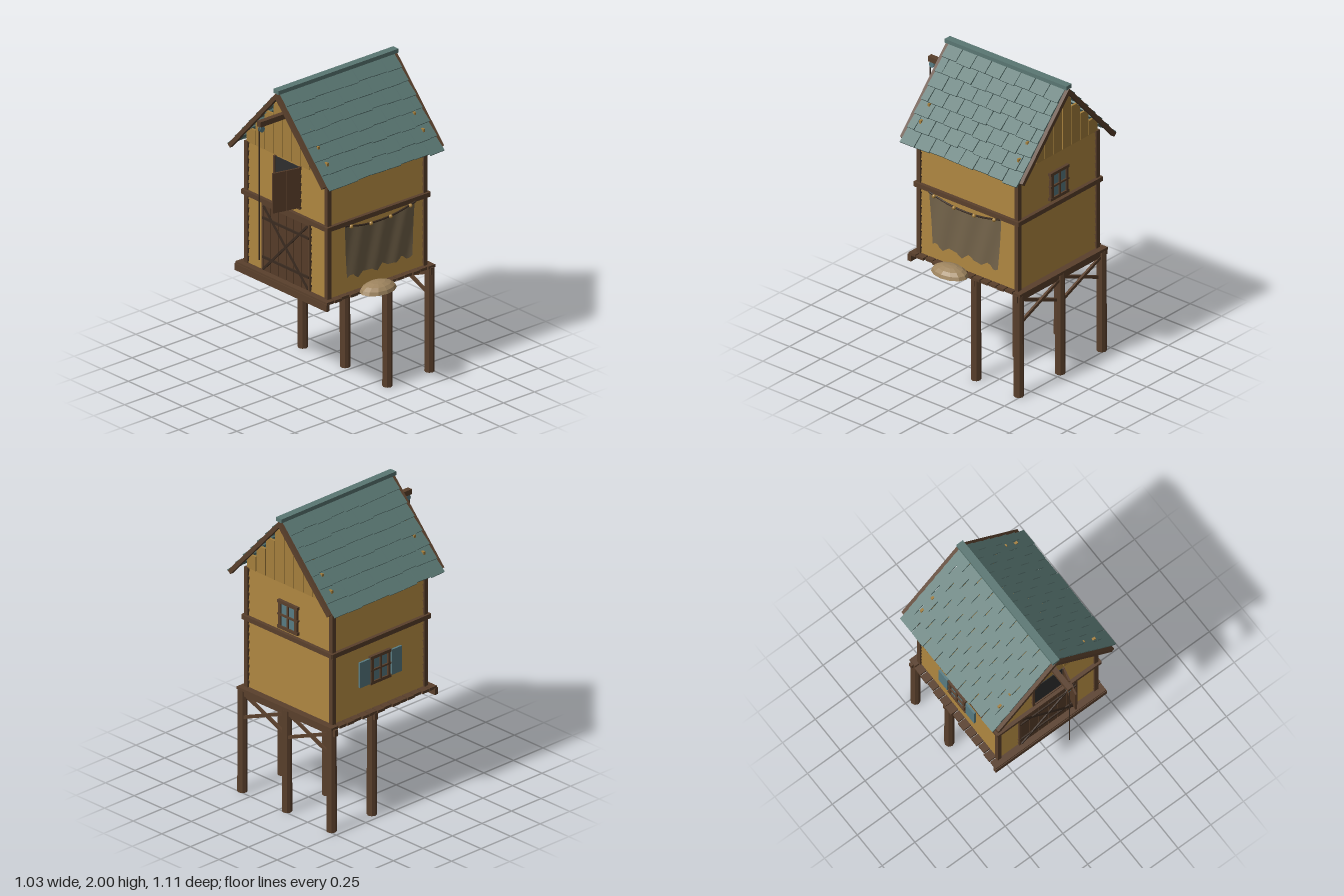
import * as THREE from 'three';

const mat = (name, color, side = THREE.FrontSide) => {
  const m = new THREE.MeshStandardMaterial({ color, side });
  m.name = name;
  return m;
};
const M = {
  wood: mat('brown timber', 0x5a402c),
  door: mat('door planks', 0x553b28),
  wall: mat('ochre boards', 0xa57f3c),
  roof: mat('slate shingles', 0x5a7773),
  dark: mat('dark opening', 0x2e2e2e),
  iron: mat('dark strap', 0x3a2b20),
  glass: mat('blue glass and shutters', 0x587b82),
  net: mat('net', 0x73634a, THREE.DoubleSide),
  hay: mat('tan heap', 0xa08660),
};

// House centre, half sizes and storey heights
const HX = -0.05, HZ = -0.065, W = 0.385, D = 0.405;
const BASE = 0.7, EAVE = 1.51, BAND = 1.177;

let seed = 7;
const jitter = (a) => {
  seed = (seed * 16807) % 2147483647;
  return (seed / 2147483647 - 0.5) * 2 * a;
};

function add(parent, name, geo, m, x = 0, y = 0, z = 0) {
  const mesh = new THREE.Mesh(geo, m);
  mesh.name = name;
  mesh.position.set(x, y, z);
  parent.add(mesh);
  return mesh;
}
const box = (p, name, m, w, h, d, x, y, z) => add(p, name, new THREE.BoxGeometry(w, h, d), m, x, y, z);
const group = (p, name, x = 0, y = 0, z = 0) => {
  const g = new THREE.Group();
  g.name = name;
  g.position.set(x, y, z);
  p.add(g);
  return g;
};
const flat = (geo) => {
  const g = geo.toNonIndexed();
  g.computeVertexNormals();
  return g;
};
// Bar between two points of an xy plane
function bar(p, name, m, x1, y1, x2, y2, z, t, d) {
  const b = box(p, name, m, Math.hypot(x2 - x1, y2 - y1), t, d, (x1 + x2) / 2, (y1 + y2) / 2, z);
  b.rotation.z = Math.atan2(y2 - y1, x2 - x1);
  return b;
}

function buildPlatform(root) {
  const g = group(root, 'platform');
  const legX = [-0.44, -0.05, 0.34];
  const legGeo = flat(new THREE.CylinderGeometry(0.03, 0.032, 0.69, 8));
  for (const z of [-0.14, -0.48]) for (const x of legX) add(g, 'stilt', legGeo, M.wood, x, 0.345, z);
  // Crossed braces along the back row
  for (let i = 0; i < 2; i++) {
    const a = legX[i], b = legX[i + 1];
    bar(g, 'crossBrace', M.wood, a, 0.5, b, 0.66, -0.472, 0.02, 0.015);
    bar(g, 'crossBrace', M.wood, a, 0.66, b, 0.5, -0.488, 0.02, 0.015);
  }
  for (const z of [0.367, -0.14, -0.48]) box(g, 'deckBeam', M.wood, 0.85, 0.045, 0.025, -0.055, 0.673, z);
  for (let i = 0; i < 14; i++) {
    box(g, 'deckPlank', M.wood, 0.84 + jitter(0.012), 0.018, 0.056, -0.055 + jitter(0.004), 0.699, -0.479 + i * 0.0635);
  }
}

// Lapped boards, wide at the foot of each course
function siding(face, length, dist) {
  const n = 15, h = (EAVE - BASE) / n;
  for (let i = 0; i < n; i++) {
    const b = box(face, 'sidingBoard', M.wall, length, h + 0.004, 0.01, 0, BASE + h * (i + 0.5), dist - 0.018);
    b.rotation.x = -0.16;
  }
  box(face, 'floorBand', M.wood, length + 0.06, 0.03, 0.035, 0, BAND, dist - 0.003);
}

function addWindow(face, y, z, shutters) {
  const g = group(face, 'window', 0, y, z);
  const w = 0.14, h = 0.17;
  box(g, 'pane', M.glass, w, h, 0.008, 0, 0, 0);
  for (const s of [-1, 0, 1]) {
    const t = s ? 0.02 : 0.012;
    box(g, 'windowUpright', M.wood, t, h, 0.02, s * w / 2, 0, 0.003);
    box(g, 'windowRail', M.wood, w + 0.035, t, 0.022, 0, s * h / 2, 0.003);
    if (s && shutters) box(g, 'shutter', M.glass, 0.085, h, 0.014, s * 0.135, 0, 0.006);
  }
}

function buildFront(face) {
  const z = D - 0.008;
  // Double door with straps
  const x0 = -0.215, x1 = 0.215, y0 = 0.71, y1 = 1.15;
  for (let i = 0; i < 6; i++) {
    box(face, 'doorPlank', M.door, 0.068, y1 - y0, 0.012, x0 + 0.036 + i * 0.0717, (y0 + y1) / 2, z);
  }
  box(face, 'doorBacking', M.dark, x1 - x0, y1 - y0, 0.008, 0, (y0 + y1) / 2, z - 0.004);
  for (const y of [0.8, 1.06]) box(face, 'doorStrap', M.iron, x1 - x0, 0.016, 0.01, 0, y, z + 0.009);
  for (const x of [x0, x1]) box(face, 'doorJamb', M.wood, 0.014, y1 - y0, 0.022, x, (y0 + y1) / 2, z);
  box(face, 'doorHead', M.wood, 0.44, 0.014, 0.022, 0, y1, z);
  bar(face, 'doorDiagonal', M.iron, x0 + 0.01, y0 + 0.01, x1 - 0.01, y1 - 0.01, z + 0.012, 0.014, 0.008);
  bar(face, 'doorDiagonal', M.iron, x0 + 0.01, y1 - 0.01, x1 - 0.01, y0 + 0.01, z + 0.01, 0.014, 0.008);
  // Loading hatch with one open leaf of two planks
  box(face, 'hatchOpening', M.dark, 0.22, 0.27, 0.008, 0.005, 1.365, z - 0.002);
  for (const x of [-0.11, 0.12]) box(face, 'hatchJamb', M.wood, 0.014, 0.28, 0.02, x, 1.365, z);
  box(face, 'hatchSill', M.wood, 0.24, 0.012, 0.02, 0.005, 1.228, z);
  const leaf = group(face, 'hatchLeaf', 0.122, 1.367, z + 0.005);
  leaf.rotation.y = -Math.PI / 2 - 0.24;
  for (const x of [0.046, 0.14]) box(leaf, 'hatchPlank', M.door, 0.09, 0.265, 0.012, x, 0, 0);
}

// Hanging net with a sagging rope and floats
function buildNet(face) {
  const top = (u) => 1.17 - 0.04 * (1 - 4 * u * u);
  const z0 = W + 0.02;
  const geo = new THREE.PlaneGeometry(1, 1, 24, 6);
  const p = geo.attributes.position;
  for (let i = 0; i < p.count; i++) {
    const u = p.getX(i), v = 0.5 - p.getY(i);
    const foot = 0.82 + 0.012 * Math.sin(u * 24) + 0.008 * Math.sin(u * 41);
    p.setXYZ(i, u * (0.57 - 0.045 * v), THREE.MathUtils.lerp(top(u), foot, v), z0 + 0.005 * Math.sin(u * 20 + v * 3));
  }
  geo.computeVertexNormals();
  add(face, 'hangingNet', geo, M.net);
  const pts = [-0.5, -0.25, 0, 0.25, 0.5].map((u) => new THREE.Vector3(u * 0.57, top(u), z0 + 0.003));
  add(face, 'netRope', new THREE.TubeGeometry(new THREE.CatmullRomCurve3(pts), 16, 0.006, 6), M.iron);
  for (const u of [-0.42, -0.14, 0.14, 0.42]) {
    add(face, 'netFloat', flat(new THREE.SphereGeometry(0.013, 8, 6)), M.wall, u * 0.57, top(u), z0 + 0.01);
  }
}

function buildHouse(root) {
  const g = group(root, 'house', HX, 0, HZ);
  box(g, 'wallCore', M.wall, 2 * W - 0.06, EAVE - BASE - 0.01, 2 * D - 0.06, 0, (BASE + EAVE) / 2, 0);
  for (const sx of [-1, 1]) for (const sz of [-1, 1]) {
    box(g, 'cornerPost', M.wood, 0.03, EAVE - BASE + 0.01, 0.03, sx * (W - 0.015), (BASE + EAVE) / 2, sz * (D - 0.015));
  }
  const faces = ['frontWall', 'leftWall', 'backWall', 'rightWall'].map((name, i) => {
    const face = group(g, name);
    face.rotation.y = i * Math.PI / 2;
    siding(face, 2 * (i % 2 ? D : W) - 0.04, i % 2 ? W : D);
    return face;
  });
  buildFront(faces[0]);
  buildNet(faces[1]);
  addWindow(faces[2], 1.305, D - 0.004, false);
  addWindow(faces[3], 0.97, W - 0.004, true);
  // Stepped gable planks
  for (const z of [-1, 1]) for (let i = -4; i <= 4; i++) {
    const h = 1.94 - Math.abs(i) * 0.083 - EAVE;
    box(g, 'gablePlank', M.wall, 0.077, h, 0.015, i * 0.083, EAVE + h / 2, z * (D - 0.015));
  }
  // Hoist beam, pulley and rope
  box(g, 'hoistBeam', M.wood, 0.034, 0.035, 0.3, 0, 1.813, 0.475);
  const pulley = add(g, 'pulley', flat(new THREE.CylinderGeometry(0.02, 0.02, 0.02, 10)), M.glass, 0, 1.775, 0.603);
  pulley.rotation.z = Math.PI / 2;
  add(g, 'hoistRope', new THREE.CylinderGeometry(0.004, 0.004, 0.88, 6), M.iron, 0, 1.35, 0.62);
}

function buildRoof(root) {
  const g = group(root, 'roof', HX, 0, HZ);
  const run = 0.455, drop = 0.495, len = Math.hypot(run, drop), rows = 7, cols = 8;
  const pitch = len / rows, cw = 0.93 / cols;
  for (const turn of [0, Math.PI]) {
    const side = group(g, 'roofSide');
    side.rotation.y = turn;
    const slope = group(side, 'roofSlope', 0, 1.975, 0);
    slope.rotation.z = -Math.atan2(drop, run);
    for (let r = 0; r < rows; r++) {
      const odd = r % 2;
      for (let c = 0; c < cols + odd; c++) {
        // Alternate rows shift by half and end in half shingles
        const a = Math.max(0, c - odd * 0.5), b = Math.min(cols, c + 1 - odd * 0.5);
        const s = box(slope, 'shingle', M.roof, pitch + 0.016 + jitter(0.006), 0.011, (b - a) * cw - 0.005,
          (r + 0.5) * pitch + jitter(0.004), 0.004 + jitter(0.001), ((a + b) / 2 - cols / 2) * cw);
        s.rotation.set(0, jitter(0.03), 0.11);
      }
    }
    for (const z of [-0.475, 0.475]) box(slope, 'bargeBoard', M.wood, len - 0.02, 0.028, 0.025, len / 2 - 0.01, -0.012, z);
  }
  box(g, 'ridgeCap', M.roof, 0.05, 0.026, 0.97, 0, 1.987, 0);
}

export function createModel() {
  const root = new THREE.Group();
  root.name = 'stiltStorehouse';
  buildPlatform(root);
  buildHouse(root);
  buildRoof(root);
  // Low heap at the edge of the deck
  const heap = new THREE.SphereGeometry(1, 12, 4, 0, Math.PI * 2, 0, Math.PI / 2);
  heap.scale(0.088, 0.058, 0.13);
  add(root, 'heap', flat(heap), M.hay, 0.418, 0.708, 0.004);
  const foot = new THREE.CircleGeometry(1, 12);
  foot.rotateX(Math.PI / 2);
  foot.scale(0.088, 1, 0.13);
  add(root, 'heapBase', foot, M.hay, 0.418, 0.708, 0.004);
  return root;
}
